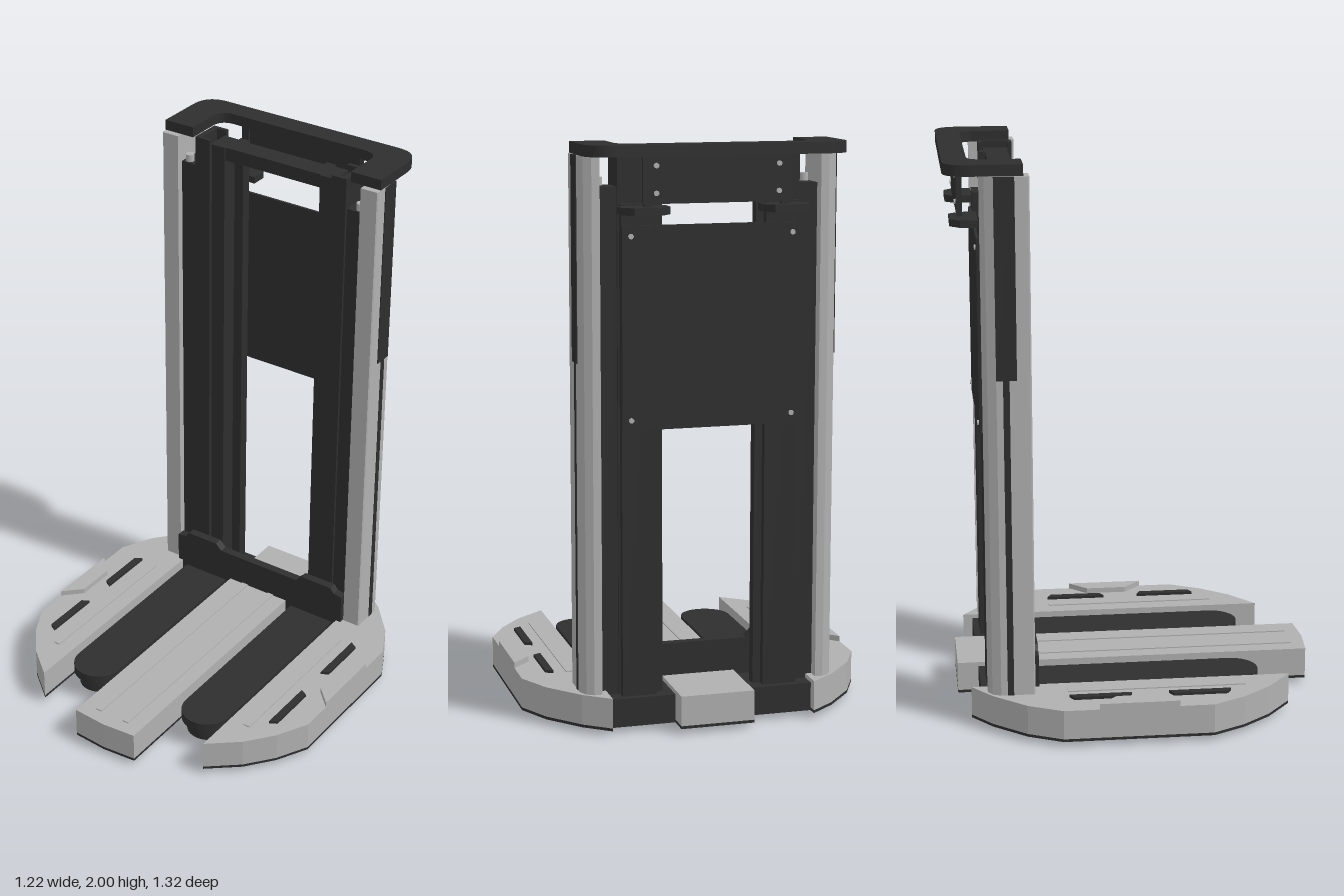
import * as THREE from 'three';

const light = new THREE.MeshStandardMaterial({ color: 0xb0b0b0 });
light.name = 'light grey metal';
const dark = new THREE.MeshStandardMaterial({ color: 0x2e2e2e });
dark.name = 'charcoal metal';

export function createModel() {
  const model = new THREE.Group();
  model.name = 'palletLift';

  const add = (name, geo, mat) => {
    const m = new THREE.Mesh(geo, mat);
    m.name = name;
    model.add(m);
    return m;
  };
  // Box given by its limits on each axis
  const box = (name, mat, x0, x1, y0, y1, z0, z1) => {
    const g = new THREE.BoxGeometry(Math.abs(x1 - x0), y1 - y0, z1 - z0);
    return add(name, g.translate((x0 + x1) / 2, (y0 + y1) / 2, (z0 + z1) / 2), mat);
  };
  // Plan shape (x, -z) raised between two heights
  const raise = (name, mat, shape, y0, y1) => {
    const g = new THREE.ExtrudeGeometry(shape, { depth: y1 - y0, bevelEnabled: false, curveSegments: 12 });
    return add(name, g.rotateX(-Math.PI / 2).translate(0, y0, 0), mat);
  };
  const plan = (pts, s = 1) => new THREE.Shape(pts.map(([x, z]) => new THREE.Vector2(s * x, -z)));
  // Fork outline with a round nose
  const tongue = (cx, r, zBack, zNose) => {
    const sh = new THREE.Shape();
    sh.moveTo(cx + r, -zBack);
    sh.lineTo(cx - r, -zBack);
    sh.lineTo(cx - r, -zNose + r);
    sh.absarc(cx, -zNose + r, r, Math.PI, Math.PI * 2, false);
    return sh;
  };

  // Central deck
  const deck = [[-0.13, -0.635], [0.13, -0.635], [0.13, 0.645], [0, 0.655], [-0.13, 0.645]];
  raise('centreDeck', light, plan(deck), 0.03, 0.135);
  raise('centreDeckUnderside', dark, plan(deck), 0.02, 0.03);

  const wing = [[0.36, 0.54], [0.47, 0.45], [0.55, 0.35], [0.61, 0.235], [0.61, -0.29],
    [0.55, -0.41], [0.45, -0.525], [0.36, -0.595]];
  const pad = [[0.61, -0.165], [0.545, -0.1], [0.545, 0.05], [0.61, 0.115]];
  const column = [[0.382, -0.375], [0.447, -0.375], [0.45, -0.38], [0.45, -0.495], [0.435, -0.525], [0.41, -0.54], [0.382, -0.54]];

  for (const s of [1, -1]) {
    const sideBox = (name, mat, x0, x1, ...r) => box(name, mat, s * x0, s * x1, ...r);

    // Base wing with raised pad, ribs and grip slots
    raise('sideWing', light, plan(wing, s), 0.03, 0.135);
    raise('sideWingUnderside', dark, plan(wing, s), 0.02, 0.03);
    raise('sidePad', light, plan(pad, s), 0.135, 0.155);
    sideBox('wingRib', light, 0.42, 0.445, 0.135, 0.139, -0.26, 0.37);
    sideBox('deckRib', light, 0.047, 0.072, 0.135, 0.139, -0.38, 0.6);
    for (const z of [-0.15, 0.2]) {
      const grip = [[0.49, z - 0.11], [0.517, z - 0.095], [0.517, z + 0.095], [0.49, z + 0.11]];
      raise('gripStrip', dark, plan(grip, s), 0.135, 0.145);
    }
    sideBox('rearFloor', dark, 0.13, 0.36, 0.02, 0.12, -0.56, -0.37);

    // Fork and its load rollers
    raise('fork', dark, tongue(s * 0.247, 0.093, -0.37, 0.445), 0.085, 0.12);
    raise('forkBody', dark, tongue(s * 0.247, 0.08, -0.37, 0.42), 0.03, 0.085);
    for (const z of [0.09, 0.16]) {
      const g = new THREE.CylinderGeometry(0.024, 0.024, 0.09, 20).rotateZ(Math.PI / 2);
      add('loadRoller', g.translate(s * 0.247, 0.024, z), light);
    }

    // Outer mast column with dark groove and upper cover
    raise('mastColumn', light, plan(column, s), 0.135, 1.96);
    sideBox('columnGroove', dark, 0.448, 0.452, 0.135, 1.27, -0.472, -0.45);
    sideBox('columnCover', dark, 0.44, 0.453, 1.27, 1.96, -0.495, -0.425);

    // Mast rails: side panel, outer C channel, inner channel
    sideBox('sidePanel', dark, 0.31, 0.384, 0.12, 1.855, -0.5, -0.4);
    const pin = new THREE.CylinderGeometry(0.016, 0.016, 0.03, 12);
    add('panelPin', pin.translate(s * 0.36, 1.867, -0.42), light);
    sideBox('outerChannelWeb', dark, 0.295, 0.316, 0.12, 1.97, -0.51, -0.39);
    for (const z of [-0.51, -0.405]) sideBox('outerChannelFlange', dark, 0.255, 0.3, 0.12, 1.97, z, z + 0.015);
    sideBox('innerRail', dark, 0.2, 0.26, 0.12, 1.95, -0.495, -0.405);
    sideBox('innerRailLip', dark, 0.163, 0.2, 0.12, 1.95, -0.51, -0.47);
    sideBox('rearRail', dark, 0.19, 0.31, 0.12, 1.8, -0.538, -0.505);

    // Small rounded shelf behind the mast
    const ear = [[0.16, -0.54], [0.16, -0.6], [0.19, -0.635], [0.29, -0.635], [0.325, -0.6], [0.325, -0.54]];
    raise('rearShelf', dark, plan(ear, s), 1.77, 1.795);
    sideBox('shelfPost', dark, 0.22, 0.25, 1.79, 1.97, -0.608, -0.59);

    // Bolts on the rear panels
    for (const [x, y, z] of [[0.28, 1.695, -0.55], [0.28, 1.08, -0.55], [0.21, 1.84, -0.612], [0.21, 1.93, -0.612]]) {
      const bolt = new THREE.CylinderGeometry(0.009, 0.009, 0.008, 10).rotateX(Math.PI / 2);
      add('panelBolt', bolt.translate(s * x, y, z), light);
    }
  }

  // Cross members and rear panels
  box('topCrossbar', dark, -0.255, 0.255, 1.9, 1.95, -0.49, -0.41);
  box('upperRearPanel', dark, -0.255, 0.255, 1.805, 1.965, -0.61, -0.598);
  box('rearPanel', dark, -0.31, 0.31, 1.045, 1.73, -0.548, -0.538);

  // Fork carriage plate with stepped shoulders
  const plate = new THREE.Shape([[-0.38, 0.06], [0.38, 0.06], [0.38, 0.25], [0.345, 0.255], [0.33, 0.275],
    [0.2, 0.275], [0.175, 0.25], [-0.175, 0.25], [-0.2, 0.275], [-0.33, 0.275], [-0.345, 0.255], [-0.38, 0.25]]
    .map(([x, y]) => new THREE.Vector2(x, y)));
  add('forkCarriage', new THREE.ExtrudeGeometry(plate, { depth: 0.032, bevelEnabled: false }).translate(0, 0, -0.389), dark);

  // U-shaped top frame with rounded rear corners
  const top = new THREE.Shape();
  top.moveTo(-0.45, 0.395);
  top.lineTo(-0.45, 0.57);
  top.quadraticCurveTo(-0.45, 0.66, -0.36, 0.66);
  top.lineTo(0.36, 0.66);
  top.quadraticCurveTo(0.45, 0.66, 0.45, 0.57);
  top.lineTo(0.45, 0.395);
  top.lineTo(0.33, 0.395);
  top.lineTo(0.33, 0.52);
  top.quadraticCurveTo(0.33, 0.575, 0.275, 0.575);
  top.lineTo(-0.275, 0.575);
  top.quadraticCurveTo(-0.33, 0.575, -0.33, 0.52);
  top.lineTo(-0.33, 0.395);
  raise('topFrame', dark, top, 1.962, 2);

  return model;
}
